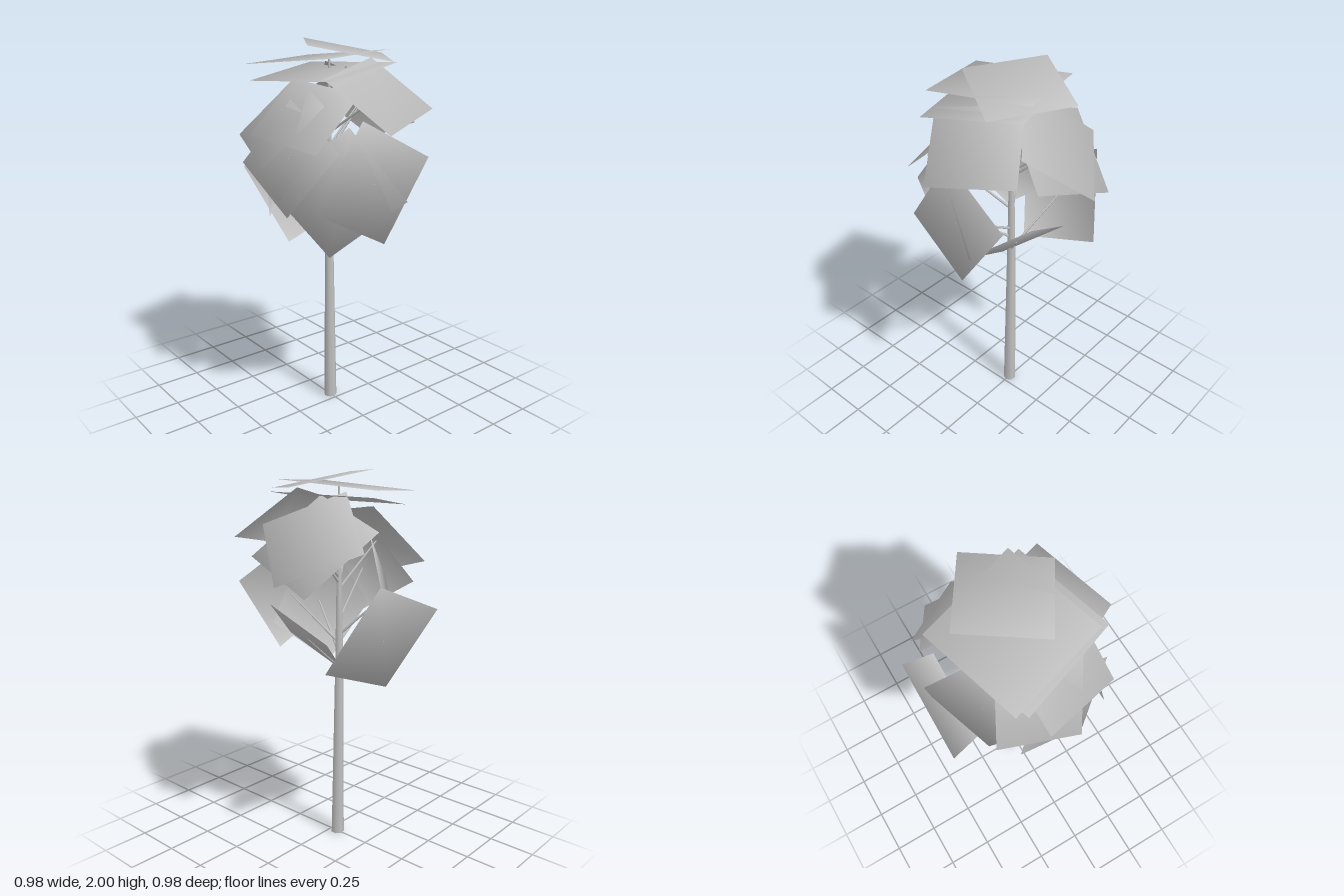
import * as THREE from 'three';

const CROWN = new THREE.Vector3(-0.03, 1.42, 0);

// Each leaf card is a parallelogram: corner, next corner, previous corner
const LEAVES = [
  // crown top
  [[-0.295, 2.0, -0.015], [0.06, 1.98, 0.215], [-0.07, 1.92, -0.37]],
  [[-0.38, 1.905, -0.11], [-0.23, 1.885, 0.395], [0.12, 1.95, -0.26]],
  [[-0.17, 1.81, 0.4], [0.34, 1.83, 0.22], [-0.335, 1.87, -0.085]],
  // back
  [[-0.08, 1.47, -0.49], [-0.41, 1.63, -0.235], [0.21, 1.73, -0.28]],
  [[-0.245, 1.43, -0.46], [0.2, 1.58, -0.37], [-0.41, 1.72, -0.13]],
  [[-0.04, 0.94, 0.05], [0.3, 1.11, -0.005], [-0.19, 1.165, -0.245]],
  // left side (+x)
  [[0.49, 1.59, 0.06], [0.335, 1.665, -0.36], [0.22, 1.835, 0.24]],
  [[0.165, 0.935, 0.165], [0.06, 1.32, 0.455], [0.405, 1.23, -0.14]],
  [[0.36, 1.02, -0.03], [0.37, 1.43, -0.31], [0.305, 1.23, 0.36]],
  // front
  [[-0.32, 1.525, 0.38], [0.07, 1.42, 0.49], [-0.175, 1.815, 0.12]],
  [[-0.085, 1.56, 0.46], [0.32, 1.51, 0.36], [-0.125, 1.81, 0.17]],
  [[0.15, 1.185, 0.41], [0.355, 1.51, 0.25], [-0.22, 1.4, 0.425]],
  // right side (-x)
  [[-0.29, 1.06, 0.23], [-0.455, 1.33, -0.12], [-0.06, 1.42, 0.38]],
  [[-0.29, 0.89, 0.105], [-0.29, 1.065, -0.37], [-0.49, 1.31, 0.26]],
];

// Flat card with normals that fan out from the crown centre
function leafGeometry(a, b, d) {
  const c = b.clone().add(d).sub(a);
  const mid = b.clone().add(d).multiplyScalar(0.5);
  const face = b.clone().sub(a).cross(d.clone().sub(a));
  const outward = face.dot(mid.clone().sub(CROWN)) > 0;
  const corners = outward ? [a, b, c, d] : [a, d, c, b];
  const geo = new THREE.BufferGeometry().setFromPoints(corners);
  const normals = corners.flatMap((p) => p.clone().sub(CROWN).normalize().toArray());
  geo.setAttribute('normal', new THREE.Float32BufferAttribute(normals, 3));
  geo.setIndex([0, 1, 2, 0, 2, 3]);
  return geo;
}

// Tapered round limb between two points
function limb(name, from, to, r0, r1, sides, material) {
  const dir = to.clone().sub(from);
  const mesh = new THREE.Mesh(new THREE.CylinderGeometry(r1, r0, dir.length(), sides), material);
  mesh.name = name;
  mesh.position.copy(from).addScaledVector(dir, 0.5);
  mesh.quaternion.setFromUnitVectors(new THREE.Vector3(0, 1, 0), dir.normalize());
  return mesh;
}

export function createModel() {
  const tree = new THREE.Group();
  tree.name = 'tree';
  const grey = new THREE.MeshStandardMaterial({ color: 0xc0c0c0, side: THREE.DoubleSide });
  grey.name = 'pale grey';

  // Trunk: stout lower stem and thin leader up to the crown top
  const base = new THREE.Vector3(-0.047, 0, 0);
  const fork = new THREE.Vector3(-0.055, 1.02, 0);
  const tip = new THREE.Vector3(-0.05, 1.92, 0);
  tree.add(limb('trunk', base, fork, 0.036, 0.022, 7, grey));
  tree.add(limb('leader', fork, tip, 0.022, 0.005, 7, grey));

  const branches = new THREE.Group();
  branches.name = 'branches';
  const foliage = new THREE.Group();
  foliage.name = 'foliage';
  LEAVES.forEach((pts) => {
    const [a, b, d] = pts.map((p) => new THREE.Vector3(...p));
    const leaf = new THREE.Mesh(leafGeometry(a, b, d), grey);
    leaf.name = 'leafCard';
    foliage.add(leaf);

    // Branch rising from the trunk to the middle of its leaf; the leader holds the top ones
    const end = b.clone().add(d).multiplyScalar(0.5);
    if (end.y > 1.8) return;
    const y = THREE.MathUtils.clamp(end.y - 0.22, 0.98, 1.6);
    const start = fork.clone().lerp(tip, (y - fork.y) / (tip.y - fork.y));
    branches.add(limb('branch', start, end, 0.008, 0.004, 5, grey));
  });
  tree.add(branches, foliage);
  return tree;
}
